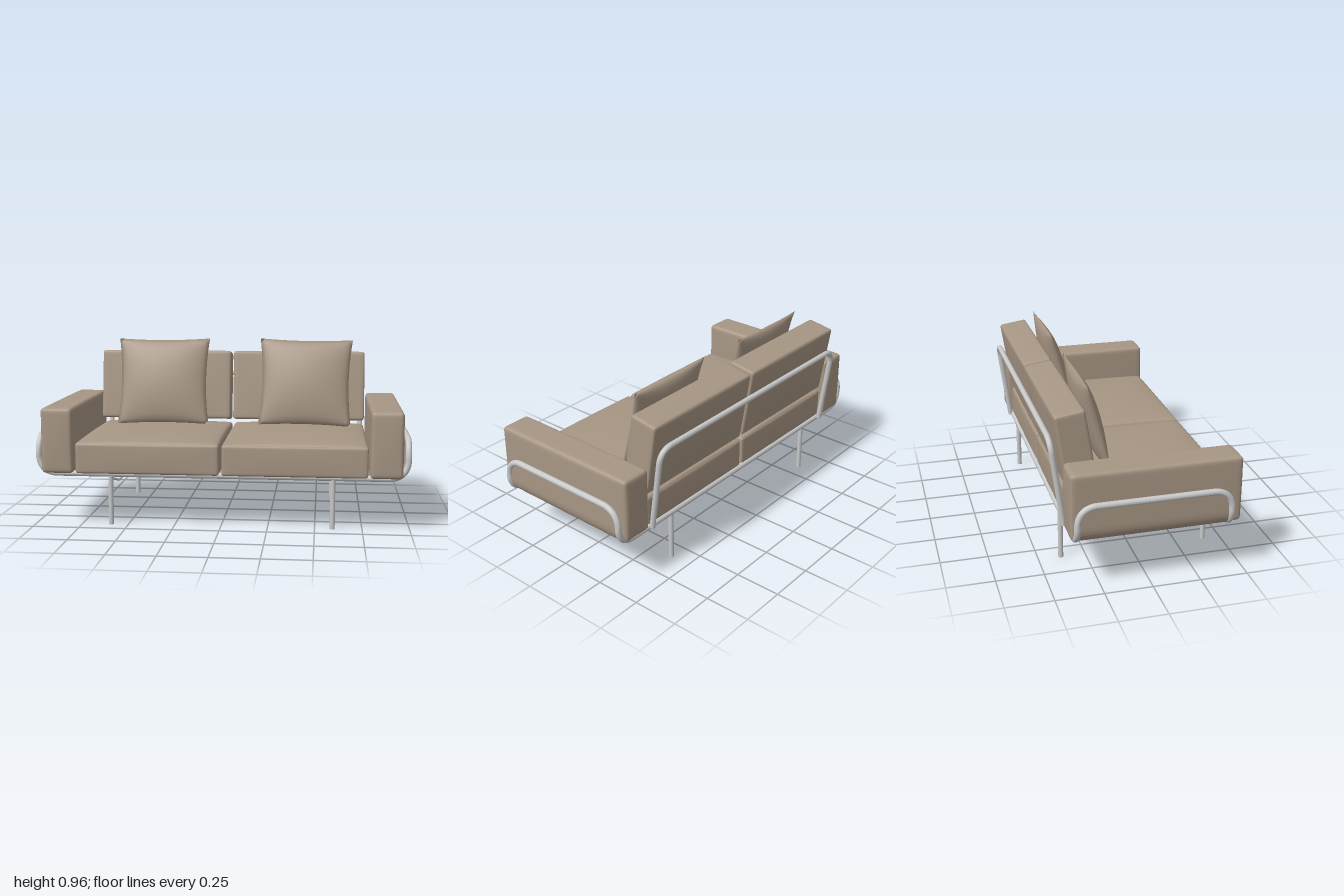
import * as THREE from 'three';
import { mergeVertices, mergeGeometries } from 'three/addons/utils/BufferGeometryUtils.js';

const V = (x, y, z) => new THREE.Vector3(x, y, z);

function smooth(geo) {
  geo.deleteAttribute('uv');
  geo.deleteAttribute('normal');
  const g = mergeVertices(geo, 1e-5);
  g.computeVertexNormals();
  return g;
}

// Box with rounded edges and softly swollen faces; bulge = [x, y, z]
function cushionGeometry(w, h, d, r, bulge) {
  const g = new THREE.BoxGeometry(2, 2, 2, 22, 22, 22);
  const p = g.attributes.position, half = V(w / 2, h / 2, d / 2);
  const core = half.clone().subScalar(r);
  const ease = (u) => Math.sign(u) * (1 - (1 - Math.abs(u)) ** 2);
  const v = V(0, 0, 0), c = V(0, 0, 0);
  for (let i = 0; i < p.count; i++) {
    v.fromBufferAttribute(p, i);
    const [a, b, e] = [ease(v.x), ease(v.y), ease(v.z)];
    v.set(a, b, e).multiply(half);
    c.copy(v).clamp(core.clone().negate(), core);
    v.sub(c).normalize().multiplyScalar(r).add(c);
    const fx = 1 - a * a, fy = 1 - b * b, fz = 1 - e * e;
    v.x += bulge[0] * a * fy * fz;
    v.y += bulge[1] * Math.max(b, 0) * Math.sqrt(fx * fz);
    v.z += bulge[2] * e * fx * fy;
    p.setXYZ(i, v.x, v.y, v.z);
  }
  return smooth(g);
}

// Throw pillow: two swollen sheets sharing a pinched rim
function pillowGeometry(w, h, t) {
  const front = new THREE.PlaneGeometry(2, 2, 24, 24);
  const back = front.clone().rotateY(Math.PI);
  [front, back].forEach((g, k) => {
    const p = g.attributes.position;
    for (let i = 0; i < p.count; i++) {
      const u = p.getX(i), v = p.getY(i);
      const f = Math.max(0, (1 - u * u) * (1 - v * v));
      p.setXYZ(i, u * w / 2 * (1 - 0.07 * (1 - v * v)), v * h / 2 * (1 - 0.04 * (1 - u * u)),
        (k ? -1 : 1) * t * f ** 0.6);
    }
  });
  return smooth(mergeGeometries([front, back]));
}

// Straight runs joined by rounded bends
function bentTube(pts, bend, radius, steps, closed = false) {
  const path = new THREE.CurvePath();
  let prev = pts[0];
  for (let i = 1; i < pts.length - 1; i++) {
    const p = pts[i];
    const a = p.clone().add(pts[i - 1].clone().sub(p).setLength(bend));
    const b = p.clone().add(pts[i + 1].clone().sub(p).setLength(bend));
    path.add(new THREE.LineCurve3(prev, a));
    path.add(new THREE.QuadraticBezierCurve3(a, p.clone().lerp(a, 0.1).lerp(b, 0.1), b));
    prev = b;
  }
  path.add(new THREE.LineCurve3(prev, pts[pts.length - 1]));
  path.arcLengthDivisions = 800;
  return new THREE.TubeGeometry(path, steps, radius, 12, closed);
}

export function createModel() {
  const root = new THREE.Group();
  const fabric = new THREE.MeshStandardMaterial({ color: 0xa79684 });
  fabric.name = 'taupe fabric';
  const steel = new THREE.MeshStandardMaterial({ color: 0xc9c9c9 });
  steel.name = 'light steel';

  const add = (name, geo, mat, x = 0, y = 0, z = 0, rx = 0, rz = 0) => {
    const m = new THREE.Mesh(geo, mat);
    m.name = name;
    m.position.set(x, y, z);
    m.rotation.set(rx, 0, rz);
    root.add(m);
    return m;
  };

  // Main frame: one closed tube, two long rails and raised end loops
  const X = 0.984, Y0 = 0.276, Y1 = 0.478, ZF = 0.405, ZB = -0.38;
  add('baseFrame', bentTube([
    V(0, Y0, ZF), V(X, Y0, ZF), V(X, Y1, ZF), V(X, Y1, ZB), V(X, Y0, ZB),
    V(-X, Y0, ZB), V(-X, Y1, ZB), V(-X, Y1, ZF), V(-X, Y0, ZF), V(0, Y0, ZF),
  ], 0.09, 0.0165, 440, true), steel);

  // Back support hoop
  add('backFrame', bentTube([
    V(-0.757, Y0, -0.398), V(-0.757, 0.742, -0.46), V(0.757, 0.742, -0.46), V(0.757, Y0, -0.398),
  ], 0.07, 0.015, 200), steel);

  // Fabric sling stretched under the seat and up the end loops
  const band = new THREE.Shape();
  const heights = [0.385, 0.41, 0.435, 0.455, 0.468, 0.476];
  const o = X + 0.001, n = X - 0.005;
  band.moveTo(-0.89, 0.27).lineTo(0.89, 0.27);
  band.quadraticCurveTo(o, 0.27, o, 0.366);
  heights.forEach((y) => band.lineTo(o, y));
  [...heights].reverse().forEach((y) => band.lineTo(n, y));
  band.quadraticCurveTo(n, 0.276, 0.89, 0.276);
  band.lineTo(-0.89, 0.276);
  band.quadraticCurveTo(-n, 0.276, -n, 0.366);
  heights.forEach((y) => band.lineTo(-n, y));
  [...heights].reverse().forEach((y) => band.lineTo(-o, y));
  band.lineTo(-o, 0.366);
  band.quadraticCurveTo(-o, 0.27, -0.89, 0.27);
  const sling = new THREE.ExtrudeGeometry(band, { depth: 2, bevelEnabled: false, curveSegments: 12 });
  const sp = sling.attributes.position;
  for (let i = 0; i < sp.count; i++) {
    const rise = Math.max(0, sp.getY(i) - 0.388);
    const hw = 0.3925 - (0.09 - Math.sqrt(0.0081 - rise * rise));
    sp.setZ(i, 0.0125 + (sp.getZ(i) - 1) * hw);
  }
  sling.computeVertexNormals();
  add('sling', sling, fabric);

  const armGeo = cushionGeometry(0.17, 0.35, 0.872, 0.02, [0.003, 0.002, 0.006]);
  const seatGeo = cushionGeometry(0.768, 0.165, 0.836, 0.014, [0, 0.032, 0.004]);
  const backGeo = cushionGeometry(0.766, 0.4, 0.158, 0.014, [0, 0.004, 0.008]);
  const legGeo = new THREE.CylinderGeometry(0.0135, 0.0135, Y0, 16);

  for (const s of [1, -1]) {
    const side = s > 0 ? 'left' : 'right';
    // Upholstery
    add(side + 'Arm', armGeo, fabric, s * 0.87, 0.459, 0.031);
    add(side + 'SeatCushion', seatGeo, fabric, s * 0.391, 0.365, 0.036);
    add(side + 'BackCushion', backGeo, fabric, s * 0.391, 0.677, -0.333, -0.155);
    // Legs and the bent brace between them
    add(side + 'FrontLeg', legGeo, steel, s * 0.593, Y0 / 2, ZF);
    add(side + 'BackLeg', legGeo, steel, s * 0.593, Y0 / 2, ZB);
    add(side + 'Brace', bentTube([
      V(0, 0.254, 0.4), V(0, 0.2, 0.2), V(0, 0.2, -0.15), V(0, 0.239, -0.27), V(0, 0.253, -0.375),
    ], 0.012, 0.0065, 80), steel, s * 0.593);
  }

  // Throw pillows leaning on the back cushions
  const pillowGeo = pillowGeometry(0.535, 0.505, 0.055);
  add('rightPillow', pillowGeo, fabric, -0.395, 0.715, -0.187, -0.25, 0.005);
  add('leftPillow', pillowGeo, fabric, 0.432, 0.715, -0.187, -0.25, -0.015);

  return root;
}
